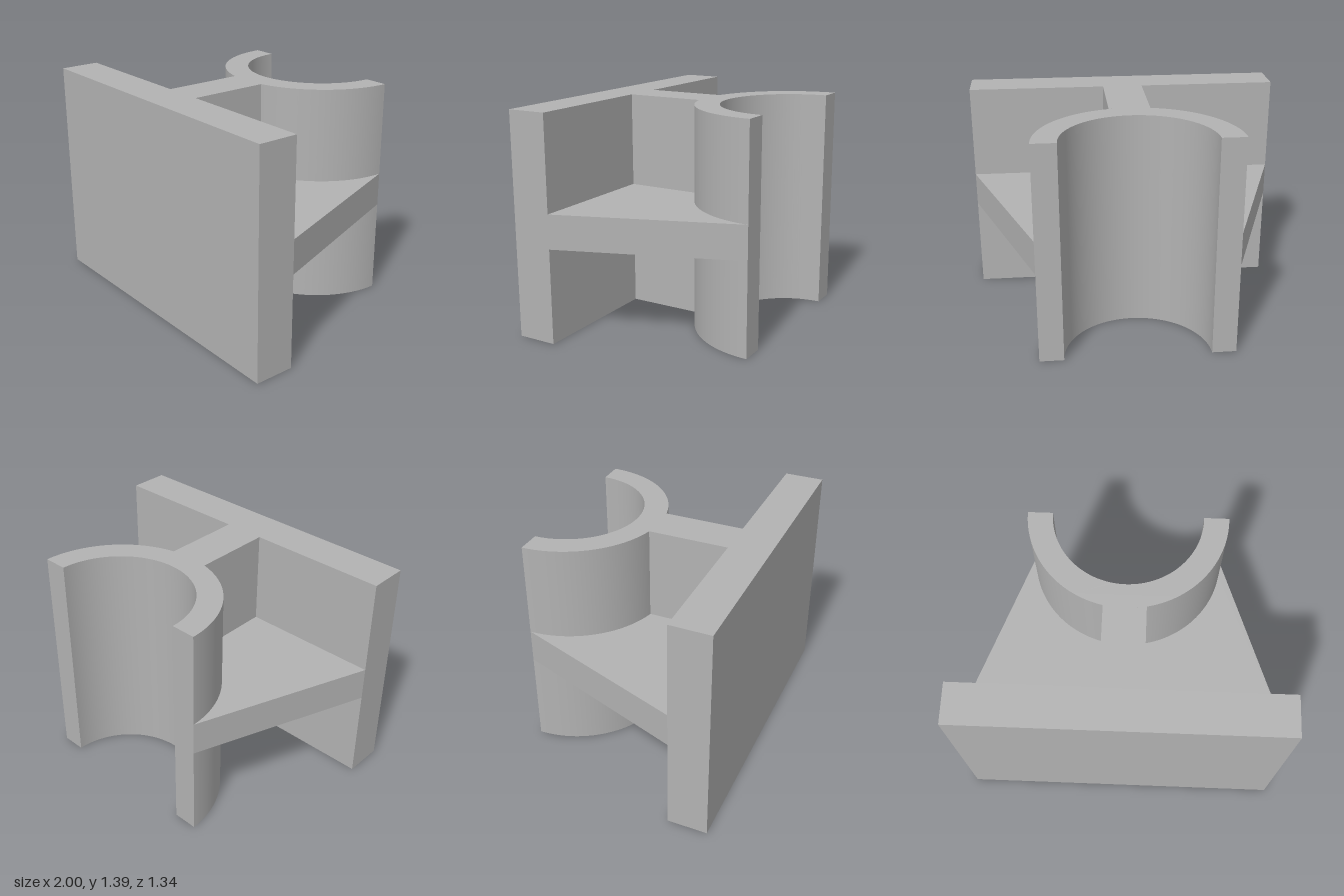
import * as THREE from 'three';
import { toCreasedNormals } from 'three/addons/utils/BufferGeometryUtils.js';

const HEIGHT = 1.395;
const BACK = 0.672;        // half depth; the saddle's axis lies on the back plane
const PLATE_BACK = 0.422;  // z of the plate's rear face
const INNER = 0.455, OUTER = 0.606;
const WEB = 0.128;         // half width of the web
const SHELF_Y = 0.593, SHELF_H = 0.212;
const SEGMENTS = 48;

export function createModel() {
  const group = new THREE.Group();
  const grey = new THREE.MeshStandardMaterial({ color: 0xb2b2b2 });
  grey.name = 'grey';

  function add(name, geometry, y = 0) {
    const mesh = new THREE.Mesh(geometry, grey);
    mesh.name = name;
    mesh.position.y = y;
    group.add(mesh);
    return mesh;
  }

  // Plan outline (x, -z) raised along y
  function raise(shape, height) {
    const geometry = new THREE.ExtrudeGeometry(shape, {
      depth: height, bevelEnabled: false, curveSegments: SEGMENTS,
    });
    geometry.rotateX(-Math.PI / 2);
    return toCreasedNormals(geometry, Math.PI / 6);
  }

  // Front plate
  const plate = new THREE.BoxGeometry(2, HEIGHT, BACK - PLATE_BACK);
  add('frontPlate', plate, HEIGHT / 2).position.z = (BACK + PLATE_BACK) / 2;

  // Half-round saddle, open to the back
  const saddle = new THREE.Shape();
  saddle.absarc(0, BACK, OUTER, Math.PI, 2 * Math.PI, false);
  saddle.absarc(0, BACK, INNER, 2 * Math.PI, Math.PI, true);
  saddle.closePath();
  add('saddle', raise(saddle, HEIGHT));

  // Web joining plate and saddle
  const meet = Math.acos(WEB / OUTER);
  const web = new THREE.Shape();
  web.moveTo(-WEB, -PLATE_BACK);
  web.lineTo(WEB, -PLATE_BACK);
  web.absarc(0, BACK, OUTER, -meet, meet - Math.PI, true);
  web.closePath();
  add('web', raise(web, HEIGHT));

  // Tapered shelves on both sides of the web
  for (const side of [1, -1]) {
    const shelf = new THREE.Shape();
    shelf.moveTo(side * WEB, -PLATE_BACK);
    shelf.lineTo(side, -PLATE_BACK);
    if (side > 0) shelf.absarc(0, BACK, OUTER, 0, -meet, true);
    else shelf.absarc(0, BACK, OUTER, Math.PI, Math.PI + meet, false);
    shelf.closePath();
    add(side > 0 ? 'leftShelf' : 'rightShelf', raise(shelf, SHELF_H), SHELF_Y);
  }

  return group;
}
